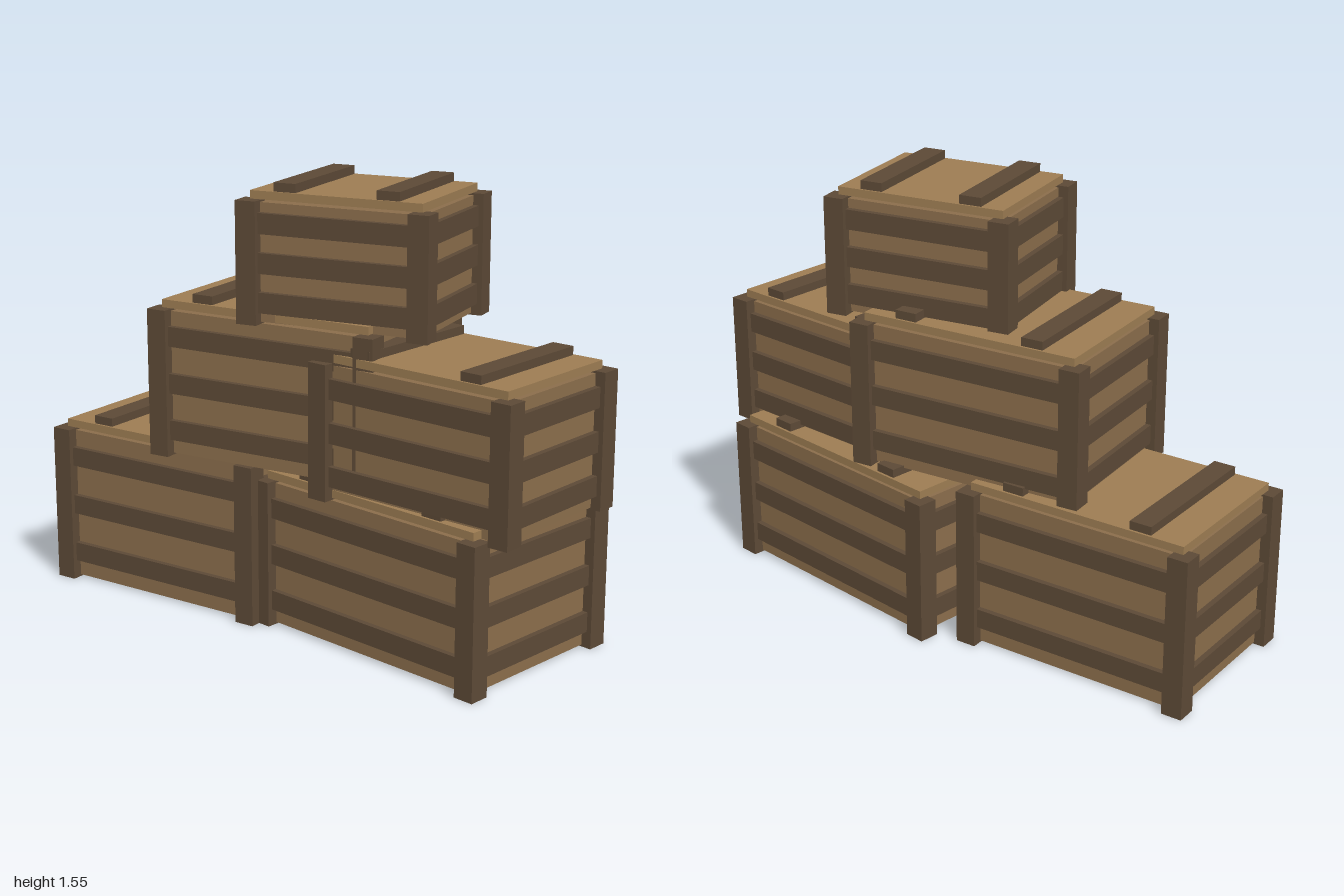
import * as THREE from 'three';

const material = (color) => new THREE.MeshStandardMaterial({ color, flatShading: true });

export function createModel() {
  const bodyWood = material(0x8a6d4b);
  const lidWood = material(0x9c7c52);
  const darkWood = material(0x5c4936);

  const POST = 0.074, BAND = 0.07, PROUD = 0.02, LID = 0.028, GAP = 0.007;

  function box(parent, name, size, position, mat) {
    const mesh = new THREE.Mesh(new THREE.BoxGeometry(...size), mat);
    mesh.position.set(...position);
    mesh.name = name;
    parent.add(mesh);
  }

  // One crate: w and d run between post centres, h is the post height
  function crate(name, w, h, d, x, y, z, turn) {
    const g = new THREE.Group();
    g.name = name;
    box(g, 'body', [w, h - 2 * GAP, d], [0, h / 2, 0], bodyWood);

    // Corner posts
    for (const sx of [-1, 1])
      for (const sz of [-1, 1])
        box(g, 'cornerPost', [POST, h, POST], [sx * w / 2, h / 2, sz * d / 2], darkWood);

    // Three raised slats on every side
    for (const level of [-0.32, 0, 0.32]) {
      const cy = h * (0.5 + level);
      for (const s of [-1, 1]) {
        box(g, 'longSlat', [w, BAND, PROUD], [0, cy, s * (d + PROUD) / 2], darkWood);
        box(g, 'shortSlat', [PROUD, BAND, d], [s * (w + PROUD) / 2, cy, 0], darkWood);
      }
    }

    // Lid with two cross battens
    box(g, 'lid', [w, LID, d], [0, h + 0.002 + LID / 2, 0], lidWood);
    for (const s of [-1, 1])
      box(g, 'lidBatten', [0.08, 0.03, d * 0.97], [s * 0.3 * w, h + LID + 0.017, 0], darkWood);

    g.position.set(x, y, z);
    g.rotation.y = turn;
    return g;
  }

  const model = new THREE.Group();
  model.name = 'crateStack';
  model.add(
    crate('bottomRightCrate', 0.82, 0.573, 0.572, -0.535, 0, 0.036, 0.07),
    crate('bottomLeftCrate', 0.92, 0.522, 0.617, 0.435, 0, -0.007, -0.104),
    crate('middleRightCrate', 0.812, 0.52, 0.56, -0.07, 0.567, 0.024, 0.135),
    crate('middleLeftCrate', 0.74, 0.468, 0.515, 0.595, 0.517, 0.04, -0.045),
    crate('topCrate', 0.615, 0.415, 0.465, 0.181, 1.08, 0.02, 0.22),
  );
  return model;
}
